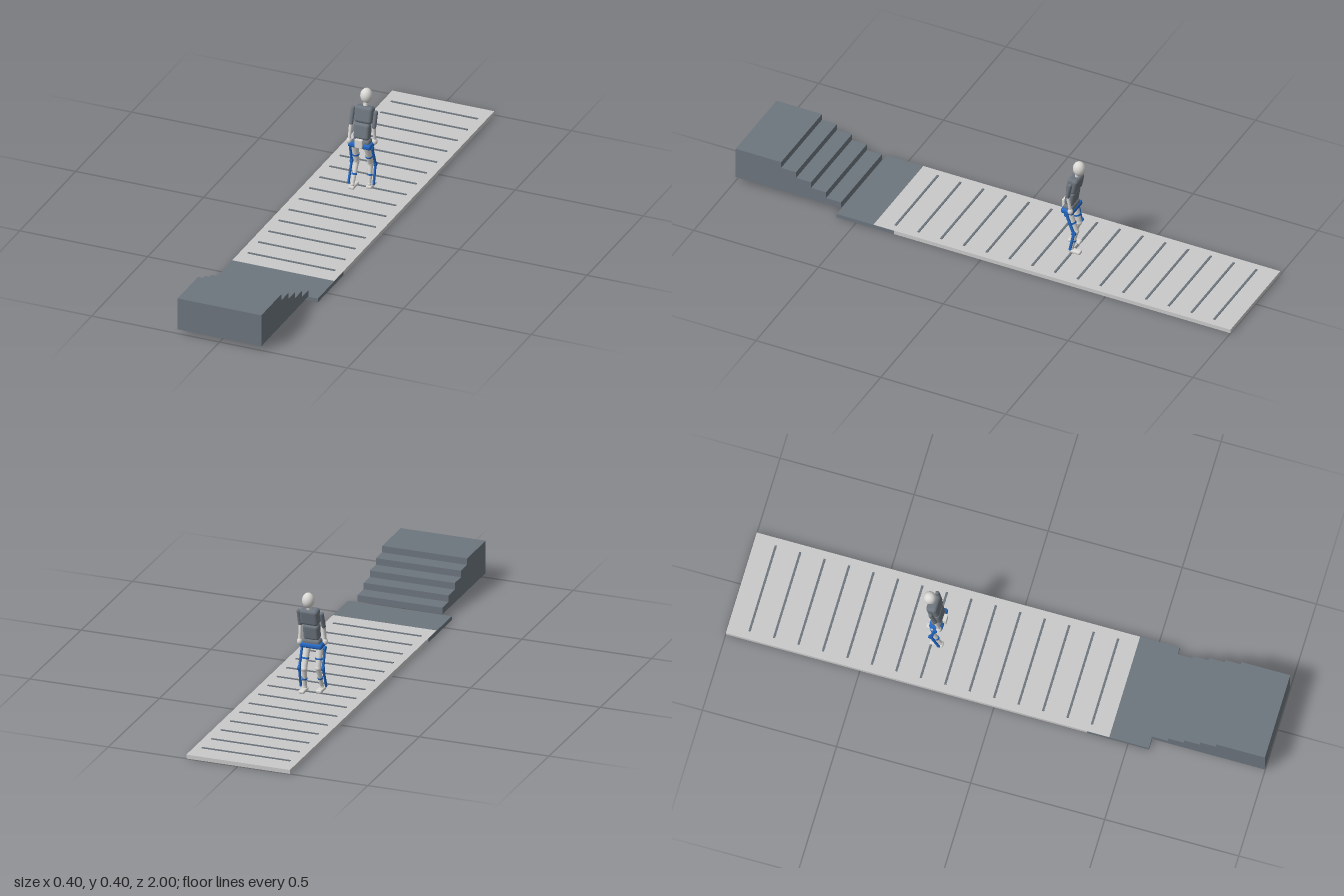
import * as THREE from 'three';
import { RoundedBoxGeometry } from 'three/addons/geometries/RoundedBoxGeometry.js';

const material = (name, color) => {
  const m = new THREE.MeshStandardMaterial({ color });
  m.name = name;
  return m;
};

export function createModel() {
  const model = new THREE.Group();
  const slate = material('slate grey', 0x6d757e);
  const pale = material('pale grey', 0xc9c9c9);
  const white = material('off white', 0xdad9d6);
  const blue = material('blue', 0x2468c4);

  const add = (name, geometry, mat, parent = model) => {
    const mesh = new THREE.Mesh(geometry, mat);
    mesh.name = name;
    parent.add(mesh);
    return mesh;
  };
  const box = (name, mat, [w, h, d], [x, y, z]) =>
    add(name, new THREE.BoxGeometry(w, h, d).translate(x, y, z), mat);

  // Walkway: pale deck lapping over a grey landing
  box('walkway', pale, [0.399, 0.0152, 1.43], [0, 0.0079, -0.285]);
  box('landing', slate, [0.4, 0.015, 0.23], [0, 0.0075, 0.463]);
  for (let i = 0; i < 15; i++) {
    box('walkwayStrip', slate, [0.34, 0.003, 0.008], [0, 0.0165, -0.92 + i * 0.0912]);
  }

  // Staircase: stepped side profile extruded across x
  const profile = new THREE.Shape();
  profile.moveTo(1, 0.017);
  profile.lineTo(0.578, 0.017);
  for (let i = 0; i < 5; i++) {
    const z = 0.578 + i * 0.06, y = 0.042 + i * 0.025;
    profile.lineTo(z, y);
    profile.lineTo(i < 4 ? z + 0.06 : 1, y);
  }
  profile.closePath();
  const stairs = new THREE.ExtrudeGeometry(profile, { depth: 0.327, bevelEnabled: false });
  add('staircase', stairs.rotateY(-Math.PI / 2).translate(0.1635, 0, 0), slate);

  // Walking figure, facing -z
  const figure = new THREE.Group();
  figure.name = 'figure';
  model.add(figure);

  const up = new THREE.Vector3(0, 1, 0);
  // Place a geometry's y axis along the line from a to b
  const along = (mesh, a, b) => {
    mesh.position.addVectors(a, b).multiplyScalar(0.5);
    mesh.quaternion.setFromUnitVectors(up, b.clone().sub(a).normalize());
    return mesh;
  };
  const v = (x, y, z) => new THREE.Vector3(x, y, z);
  const limb = (name, mat, a, b, r) =>
    along(add(name, new THREE.CapsuleGeometry(r, a.distanceTo(b), 6, 16), mat, figure), a, b);
  const taper = (name, mat, a, b, ra, rb) =>
    along(add(name, new THREE.CylinderGeometry(rb, ra, a.distanceTo(b), 16), mat, figure), a, b);
  const plate = (name, mat, a, b, w, d) =>
    along(add(name, new RoundedBoxGeometry(w, a.distanceTo(b), d, 2, 0.002), mat, figure), a, b);
  const ball = (name, mat, p, r, sx = 1, sy = 1, sz = 1) => {
    const mesh = add(name, new THREE.SphereGeometry(r, 24, 16), mat, figure);
    mesh.position.copy(p);
    mesh.scale.set(sx, sy, sz);
    return mesh;
  };
  const block = (name, mat, size, p, r, lean = 0) => {
    const mesh = add(name, new RoundedBoxGeometry(...size, 4, r), mat, figure);
    mesh.position.copy(p);
    mesh.rotation.x = lean;
    return mesh;
  };

  // Head and leaning torso
  ball('head', white, v(0.007, 0.376, -0.298), 0.0285, 0.8, 1, 0.82);
  taper('neck', white, v(0.007, 0.332, -0.288), v(0.007, 0.358, -0.294), 0.009, 0.009);
  block('chest', slate, [0.07, 0.064, 0.04], v(0.0065, 0.309, -0.281), 0.012, -0.2);
  block('abdomen', slate, [0.06, 0.062, 0.036], v(0.0045, 0.247, -0.269), 0.011, -0.16);
  block('pelvis', slate, [0.068, 0.028, 0.04], v(0.004, 0.205, -0.266), 0.01);

  // Powered hip belt with rear pack
  block('hipBelt', blue, [0.086, 0.021, 0.05], v(0.003, 0.195, -0.265), 0.009);
  block('rearPack', white, [0.029, 0.033, 0.014], v(0.003, 0.208, -0.24), 0.002);

  // Arms: x of shoulder, elbow and hand, then elbow and hand z
  const arms = [
    [-0.039, -0.04, -0.0405, -0.266, -0.251],
    [0.05, 0.048, 0.0465, -0.272, -0.282],
  ];
  for (const [xs, xe, xh, ze, zh] of arms) {
    const shoulder = v(xs, 0.323, -0.283), elbow = v(xe, 0.27, ze), wrist = v(xh, 0.212, zh);
    limb('upperArm', slate, shoulder, elbow, 0.0078);
    ball('elbow', white, elbow, 0.0065);
    taper('forearm', white, elbow, wrist, 0.0065, 0.0055);
    ball('hand', white, v(xh, 0.206, zh), 0.01, 1, 1.25, 1);
  }

  // Legs with outer blue braces: side, knee (y, z), ankle z
  const legs = [
    [-1, 0.112, -0.281, -0.25],
    [1, 0.108, -0.294, -0.278],
  ];
  for (const [s, yk, zk, za] of legs) {
    const x = s * 0.0245;
    const hip = v(x, 0.185, -0.265), knee = v(x, yk, zk), ankle = v(x * 1.1, 0.032, za);
    taper('thigh', white, hip, knee, 0.0135, 0.0105);
    ball('knee', white, knee, 0.0115);
    taper('shin', white, knee, ankle, 0.0098, 0.0068);
    ball('ankle', white, ankle, 0.008);
    block('foot', white, [0.022, 0.013, 0.05], v(x * 1.15, 0.0225, za - 0.013), 0.005);

    // Brace bars and joint discs
    const off = s * 0.019;
    const shift = (p) => v(x + off, p.y, p.z);
    plate('thighBrace', blue, shift(hip), shift(knee), 0.007, 0.011);
    plate('shinBrace', blue, shift(knee), shift(ankle), 0.007, 0.01);
    for (const p of [hip, knee]) {
      const disc = new THREE.CylinderGeometry(0.0085, 0.0085, 0.009, 20).rotateZ(Math.PI / 2);
      add('braceJoint', disc, blue, figure).position.copy(shift(p));
    }
    for (const [a, b, r] of [[hip, knee, 0.0135], [knee, ankle, 0.01]]) {
      const mid = a.clone().lerp(b, 0.5);
      const strap = mid.clone().lerp(b, 0.16);
      taper('braceStrap', blue, mid, strap, r, r);
    }
  }
  return model;
}
